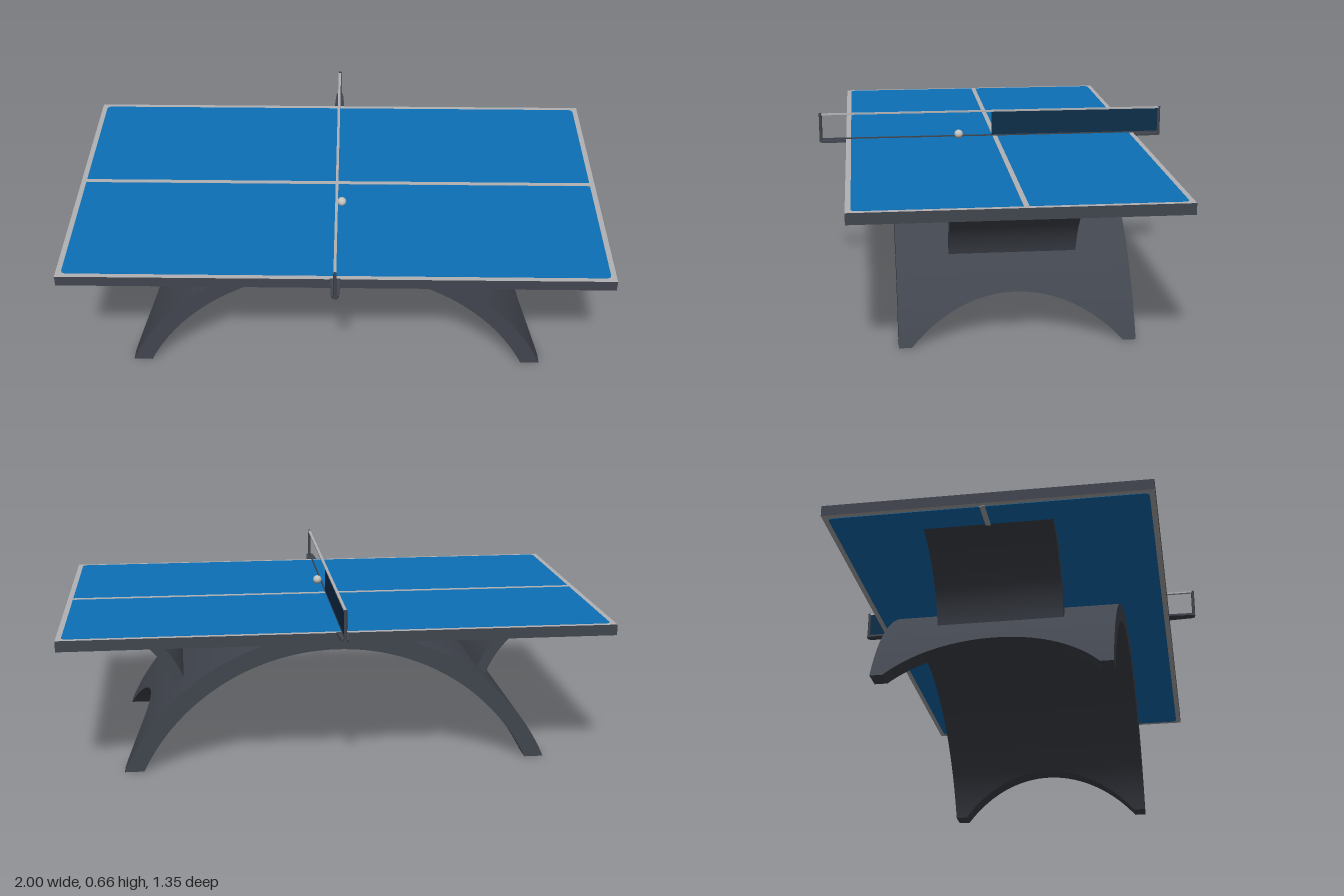
import * as THREE from 'three';
import { toCreasedNormals } from 'three/addons/utils/BufferGeometryUtils.js';

const mat = (name, color, side = THREE.FrontSide) => {
  const m = new THREE.MeshStandardMaterial({ color, side });
  m.name = name;
  return m;
};

const Z0 = -0.013; // centre of the base and centre line
const TOP = 0.555, UNDER = 0.515;

// Height, on a circle about (0, cy), turned into x
const xOnCircle = (r, cy, y) => Math.sqrt(Math.max(0, r * r - (y - cy) ** 2));

// Quarter of the arch: rectangular sections lofted from crown to foot,
// with the inner edge following the round cut-out between the feet
function archQuarter(sx, sz) {
  const CY = -0.347, RO = 0.862, RI = 0.797, CUT_R = 0.508, CUT_TOP = 0.16, HALF = 0.415;
  const rows = [];
  const addRow = (xo, yo, xi, yi, zin) => rows.push([
    [xo, yo, zin], [xo, yo, HALF], [xi, yi, HALF], [xi, yi, zin],
  ].map(([x, y, z]) => [x * sx, y, z * sz + Z0]));
  const angle = (r) => Math.acos((CUT_TOP - CY) / r);
  const N = 28, M = 18;
  for (let i = 0; i <= N; i++) {
    const a = angle(RO) * i / N, b = angle(RI) * i / N;
    addRow(RO * Math.sin(a), CY + RO * Math.cos(a), RI * Math.sin(b), CY + RI * Math.cos(b), 0);
  }
  for (let i = 1; i <= M; i++) {
    const y = CUT_TOP * (1 - (i / M) ** 2);
    addRow(xOnCircle(RO, CY, y), y, xOnCircle(RI, CY, y), y, xOnCircle(CUT_R, CUT_TOP - CUT_R, y));
  }
  const pos = [], idx = [];
  rows.forEach((row) => row.forEach((p) => pos.push(...p)));
  const quad = (a, b, c, d) => (sx * sz > 0
    ? idx.push(a, b, c, a, c, d) : idx.push(a, c, b, a, d, c));
  for (let i = 0; i < rows.length - 1; i++) {
    for (let k = 0; k < 3; k++) { // the fourth side is open above the cut-out
      quad(i * 4 + k, i * 4 + k + 1, i * 4 + k + 5, i * 4 + k + 4);
    }
    if (i >= N) quad(i * 4 + 3, i * 4, i * 4 + 4, i * 4 + 7);
  }
  const e = (rows.length - 1) * 4;
  quad(e, e + 1, e + 2, e + 3);
  const g = new THREE.BufferGeometry();
  g.setAttribute('position', new THREE.Float32BufferAttribute(pos, 3));
  g.setIndex(idx);
  return toCreasedNormals(g, 0.6);
}

// Curved brace between the arch and the table top
function braceGeometry(side) {
  const cx = 0.95, cy = 0.15, rUp = 0.415, rLow = 0.373, N = 20;
  const pts = [];
  const arc = (r, yA, yB) => {
    const a = Math.asin((yA - cy) / r), b = Math.asin((yB - cy) / r);
    for (let i = 0; i <= N; i++) {
      const t = a + (b - a) * i / N;
      pts.push(new THREE.Vector2(side * (cx - r * Math.cos(t)), cy + r * Math.sin(t)));
    }
  };
  arc(rUp, 0.28, UNDER);
  arc(rLow, UNDER, 0.26);
  const g = new THREE.ExtrudeGeometry(new THREE.Shape(pts), { depth: 0.455, bevelEnabled: false });
  g.translate(0, 0, Z0 - 0.2275);
  return toCreasedNormals(g, 0.6);
}

// Court outline with rounded corners, lying flat
function courtGeometry() {
  const w = 0.98, h = 0.552, r = 0.02;
  const s = new THREE.Shape();
  s.moveTo(-w + r, -h);
  s.lineTo(w - r, -h); s.quadraticCurveTo(w, -h, w, -h + r);
  s.lineTo(w, h - r); s.quadraticCurveTo(w, h, w - r, h);
  s.lineTo(-w + r, h); s.quadraticCurveTo(-w, h, -w, h - r);
  s.lineTo(-w, -h + r); s.quadraticCurveTo(-w, -h, -w + r, -h);
  const g = new THREE.ExtrudeGeometry(s, { depth: 0.002, bevelEnabled: false });
  return g.rotateX(-Math.PI / 2).translate(0, -0.001, 0);
}

export function createModel() {
  const model = new THREE.Group();
  model.name = 'tableTennisTable';
  const charcoal = mat('charcoal', 0x41454e);
  const blue = mat('courtBlue', 0x0d70b8);
  const white = mat('lineGrey', 0xb2b2b4);
  const navy = mat('netNavy', 0x0d2e4a, THREE.DoubleSide);
  const ballGrey = mat('ballGrey', 0xc4c2be);

  const add = (name, geo, material, x = 0, y = 0, z = 0) => {
    const m = new THREE.Mesh(geo, material);
    m.name = name;
    m.position.set(x, y, z);
    model.add(m);
    return m;
  };
  const box = (name, w, h, d, material, x, y, z) =>
    add(name, new THREE.BoxGeometry(w, h, d), material, x, y, z);

  // Table top: dark edges, pale border, blue court on both faces
  box('tableTop', 2, TOP - UNDER, 1.142, [charcoal, charcoal, white, white, charcoal, charcoal],
    0, (TOP + UNDER) / 2, 0);
  for (const [y, s] of [[TOP, 1], [UNDER, -1]]) {
    add('court', courtGeometry(), blue, 0, y + s * 0.0005, 0);
    box('centreLine', 1.97, 0.002, 0.018, white, 0, y + s * 0.002, Z0);
  }

  // Base: arch in mirrored quarters and two braces
  for (const sx of [1, -1]) {
    for (const sz of [1, -1]) add('arch', archQuarter(sx, sz), charcoal);
    add('brace', braceGeometry(sx), charcoal);
  }

  // Net: tape and cord across the table, mesh on the rear half
  box('netTape', 0.01, 0.006, 1.33, white, 0, 0.66, 0);
  box('netCord', 0.005, 0.005, 1.33, charcoal, 0, 0.563, 0);
  box('netPanel', 0.003, 0.094, 0.662, navy, 0, 0.611, -0.331);

  // Posts and tapered clamps
  const clampShape = new THREE.Shape([
    [-0.02, 0], [0.02, 0], [0.014, 0.09], [0.007, 0.102], [-0.007, 0.102], [-0.014, 0.09],
  ].map(([x, y]) => new THREE.Vector2(x, y)));
  for (const s of [1, -1]) {
    add('netPost', new THREE.CylinderGeometry(0.006, 0.006, 0.112, 12), charcoal, 0, 0.608, s * 0.668);
    const clamp = add('netClamp',
      new THREE.ExtrudeGeometry(clampShape, { depth: 0.008, bevelEnabled: false }),
      charcoal, 0, s > 0 ? 0.558 : 0.55, s * 0.571);
    clamp.rotation.x = s * Math.PI / 2;
  }

  // Ball
  add('ball', new THREE.SphereGeometry(0.017, 24, 16), ballGrey, 0.018, 0.574, 0.132);
  return model;
}
